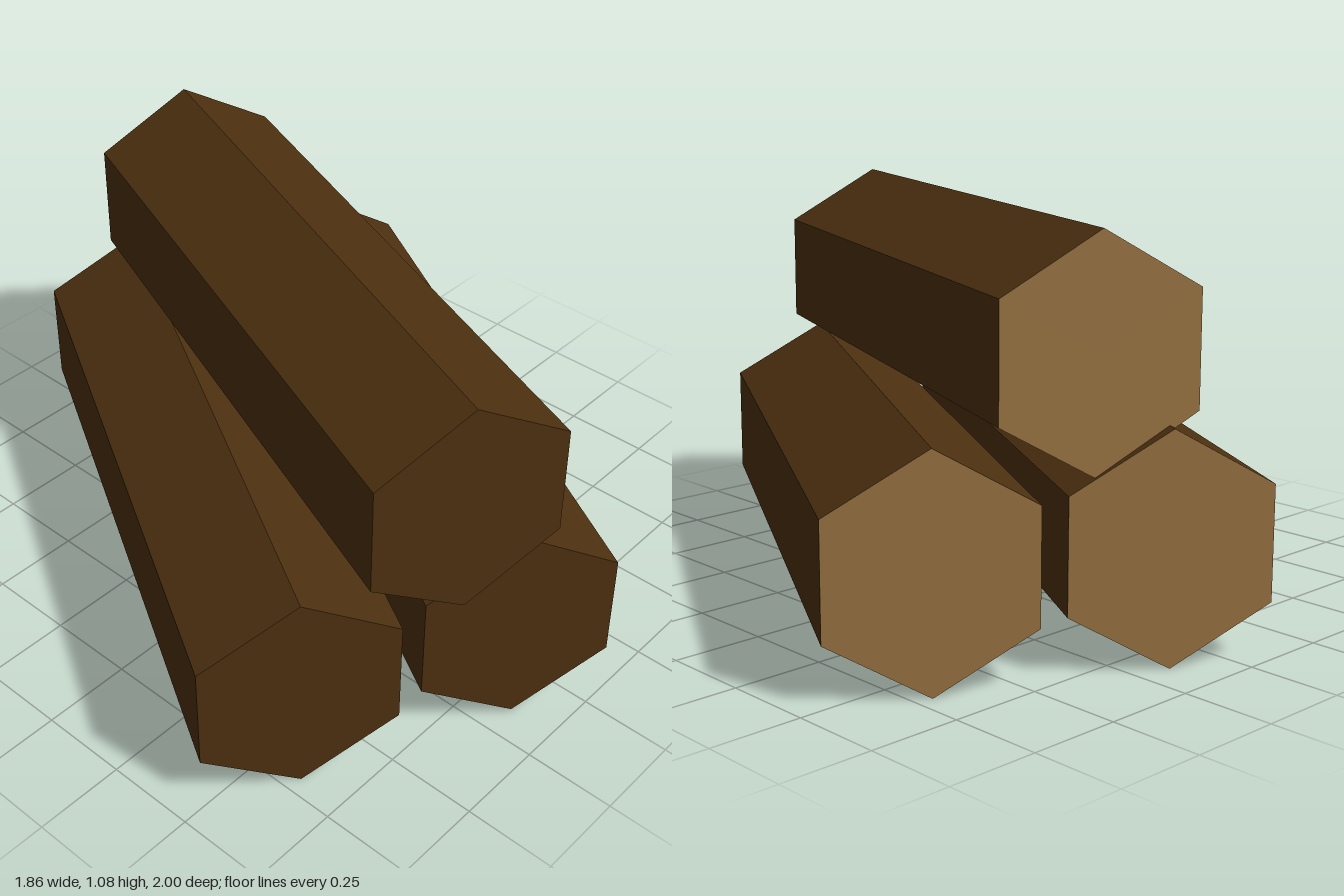
import * as THREE from 'three';

const RADIUS = 0.3;
const LENGTH = 1.72;

export function createModel() {
  const bark = new THREE.MeshStandardMaterial({ color: 0x4d3010 });
  bark.name = 'bark';
  const cutWood = new THREE.MeshStandardMaterial({ color: 0x967040 });
  cutWood.name = 'cutWood';

  // Hexagonal log lying along z with an edge on top; its pale cut end is at the back
  const logGeometry = new THREE.CylinderGeometry(RADIUS, RADIUS, LENGTH, 6).toNonIndexed();
  logGeometry.rotateX(-Math.PI / 2);
  logGeometry.computeVertexNormals();
  const materials = [bark, cutWood, bark]; // side, back end, front end

  const model = new THREE.Group();
  model.name = 'logPile';

  function addLog(name, x, y, z, turn) {
    const log = new THREE.Mesh(logGeometry, materials);
    log.name = name;
    log.position.set(x, y, z);
    log.rotation.y = -THREE.MathUtils.degToRad(turn);
    model.add(log);
  }

  // Two parallel logs on the ground, one laid askew on top
  addLog('lowerRightLog', -0.275, RADIUS, -0.125, 30);
  addLog('lowerLeftLog', 0.275, RADIUS, 0.125, 30);
  addLog('topLog', -0.018, 0.78, 0.028, 22);

  return model;
}
